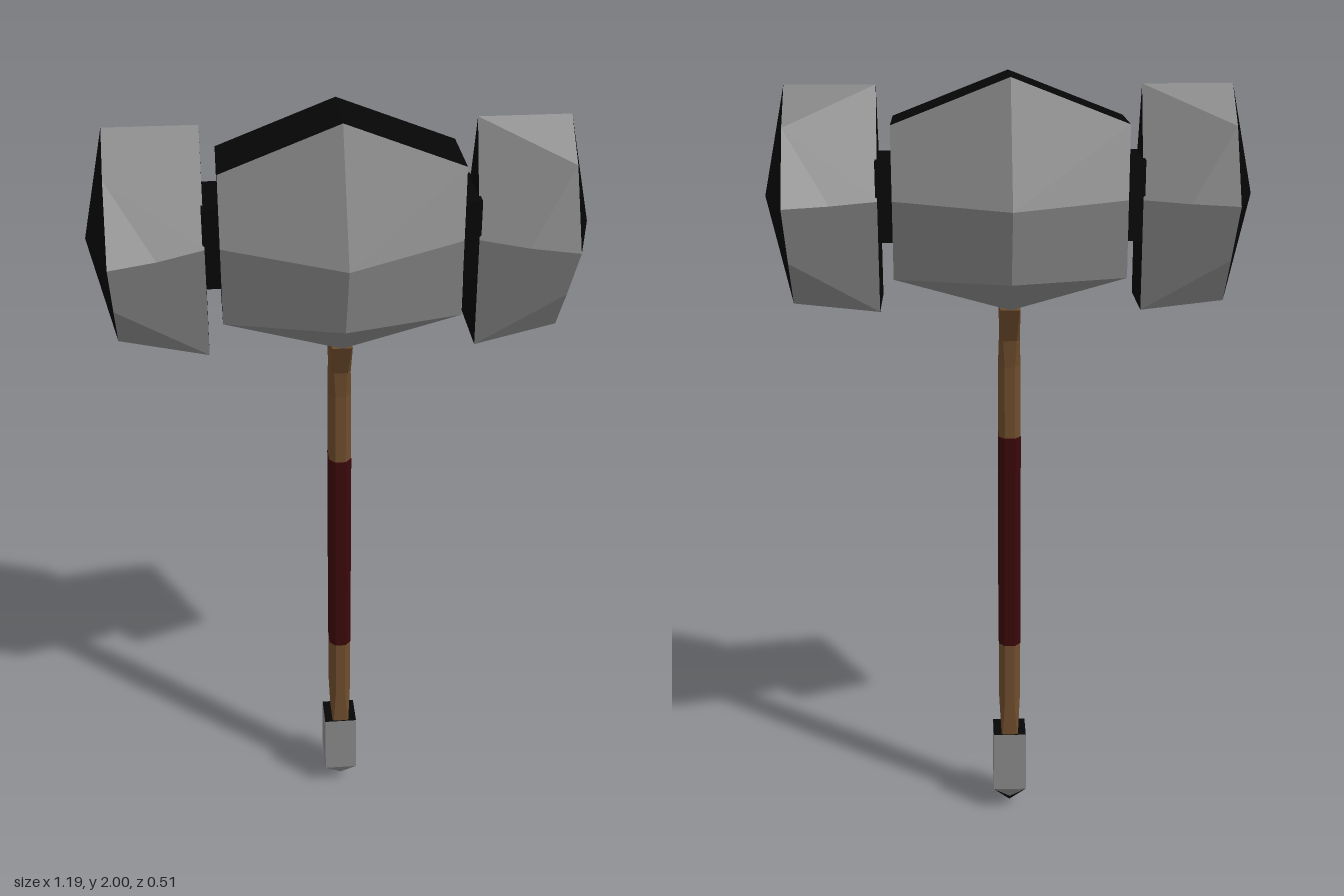
import * as THREE from 'three';

const mat = (name, color) => {
  const m = new THREE.MeshStandardMaterial({ color });
  m.name = name;
  return m;
};

// Polygons with one normal each, turned to face away from the given centre
function facets(name, material, polys, centre) {
  const c = new THREE.Vector3(...centre);
  const positions = [], normals = [];
  for (const poly of polys) {
    const pts = poly.map((p) => new THREE.Vector3(...p));
    const n = new THREE.Vector3(), mid = new THREE.Vector3();
    pts.forEach((p, i) => {
      n.add(p.clone().cross(pts[(i + 1) % pts.length]));
      mid.addScaledVector(p, 1 / pts.length);
    });
    n.normalize();
    const inward = n.dot(mid.sub(c)) < 0;
    if (inward) n.negate();
    for (let i = 1; i < pts.length - 1; i++) {
      const tri = inward ? [pts[0], pts[i + 1], pts[i]] : [pts[0], pts[i], pts[i + 1]];
      for (const v of tri) {
        positions.push(v.x, v.y, v.z);
        normals.push(n.x, n.y, n.z);
      }
    }
  }
  const g = new THREE.BufferGeometry();
  g.setAttribute('position', new THREE.Float32BufferAttribute(positions, 3));
  g.setAttribute('normal', new THREE.Float32BufferAttribute(normals, 3));
  const mesh = new THREE.Mesh(g, material);
  mesh.name = name;
  return mesh;
}

const flip = (polys, sx, sz) => polys.map((p) => p.map(([x, y, z]) => [x * sx, y, z * sz]));
const bothZ = (polys) => [...polys, ...flip(polys, 1, -1)];
const fourWay = (polys) => [...bothZ(polys), ...flip(bothZ(polys), -1, 1)];
const axis = ([x, y]) => [x, y, 0];

// Bevelled rectangular ring: height, half width, half depth, bevel in x and z
function ring([y, hx, hz, bx, bz]) {
  return [
    [hx - bx, y, hz], [hx, y, hz - bz], [hx, y, bz - hz], [hx - bx, y, -hz],
    [bx - hx, y, -hz], [-hx, y, bz - hz], [-hx, y, hz - bz], [bx - hx, y, hz],
  ];
}

function shaft(name, material, sections) {
  const rings = sections.map(ring);
  const polys = [rings[0], rings[rings.length - 1]];
  for (let i = 0; i < rings.length - 1; i++) {
    for (let k = 0; k < 8; k++) {
      const j = (k + 1) % 8;
      polys.push([rings[i][k], rings[i][j], rings[i + 1][j], rings[i + 1][k]]);
    }
  }
  const mid = (sections[0][0] + sections[sections.length - 1][0]) / 2;
  return facets(name, material, polys, [0, mid, 0]);
}

export function createModel() {
  const steel = mat('steel', 0x868686);
  const black = mat('blackMetal', 0x060606);
  const wood = mat('wood', 0x6e4c2d);
  const leather = mat('leather', 0x3a070a);
  const model = new THREE.Group();
  model.name = 'warHammer';

  // Central block of the head
  const mid = [[0, 2, 0.095], [0, 1.71, 0.253], [0, 1.52, 0.17], [0, 1.44, 0.09]];
  const end = [[0.285, 1.89, 0.095], [0.285, 1.71, 0.095], [0.285, 1.52, 0.095]];
  const centre = [0, 1.71, 0];
  model.add(facets('headBlock', steel, fourWay([
    [mid[1], end[1], end[0], mid[0]],
    [mid[1], mid[2], end[2], end[1]],
    [mid[2], mid[3], end[2]],
  ]), centre));
  model.add(facets('headBlockDarkFaces', black, fourWay([
    [mid[0], end[0], axis(end[0]), axis(mid[0])],
    [mid[3], end[2], axis(end[2]), axis(mid[3])],
    [end[0], end[2], axis(end[2]), axis(end[0])],
  ]), centre));

  // Striking ends: outer rim A-E, kink F, inner rim G-I, point P
  const A = [0.54, 1.975, 0], B = [0.54, 1.885, 0.095], C = [0.54, 1.71, 0.195];
  const D = [0.54, 1.56, 0.09], E = [0.54, 1.44, 0], F = [0.43, 1.71, 0.155];
  const G = [0.32, 1.975, 0], H = [0.32, 1.71, 0.095], I = [0.32, 1.44, 0.095];
  const P = [0.597, 1.71, 0];
  const sides = bothZ([
    [A, B, G], [B, C, F], [B, F, H, G],
    [F, H, I, D, C], [D, E, I], [E, I, axis(I)],
  ]);
  const caps = bothZ([[P, A, B], [P, B, C], [P, C, D], [P, D, E], [G, H, I, axis(I)]]);
  for (const s of [1, -1]) {
    const side = s > 0 ? 'left' : 'right';
    const c = [s * 0.45, 1.71, 0];
    model.add(facets(side + 'StrikingEnd', steel, flip(sides, s, 1), c));
    model.add(facets(side + 'StrikingFaces', black, flip(caps, s, 1), c));
    const neck = new THREE.Mesh(new THREE.BoxGeometry(0.045, 0.195, 0.185), black);
    neck.name = side + 'Neck';
    neck.position.set(s * 0.302, 1.708, 0);
    model.add(neck);
  }

  // Handle in wood, with a leather grip
  model.add(shaft('lowerHandle', wood, [
    [0.22, 0.022, 0.042, 0.002, 0.002], [0.33, 0.028, 0.041, 0.015, 0.018], [0.5, 0.028, 0.041, 0.015, 0.018],
  ]));
  model.add(shaft('grip', leather, [
    [0.5, 0.029, 0.042, 0.015, 0.018], [1.09, 0.029, 0.042, 0.015, 0.018],
  ]));
  model.add(shaft('upperHandle', wood, [
    [1.09, 0.028, 0.041, 0.015, 0.018], [1.28, 0.028, 0.04, 0.015, 0.018],
    [1.35, 0.025, 0.047, 0.008, 0.008], [1.44, 0.025, 0.09, 0.002, 0.002],
  ]));

  // Pommel: flared cap with a dark pointed tip
  const t = [0.044, 0.23, 0.045], b = [0.044, 0.065, 0.055];
  const v = [0, 0.033, 0.039], tip = [0, 0, 0];
  const pommelCentre = [0, 0.13, 0];
  model.add(facets('pommel', steel, fourWay([
    [t, b, [0, 0.065, 0.055], [0, 0.23, 0.045]],
    [t, b, [0.044, 0.065, 0], [0.044, 0.23, 0]],
    [b, v, [0, 0.065, 0.055]],
  ]), pommelCentre));
  model.add(facets('pommelTip', black, fourWay([
    [b, v, tip], [b, tip, [0.044, 0.065, 0]],
    [t, [0, 0.23, 0.045], [0, 0.23, 0], [0.044, 0.23, 0]],
  ]), pommelCentre));
  return model;
}
